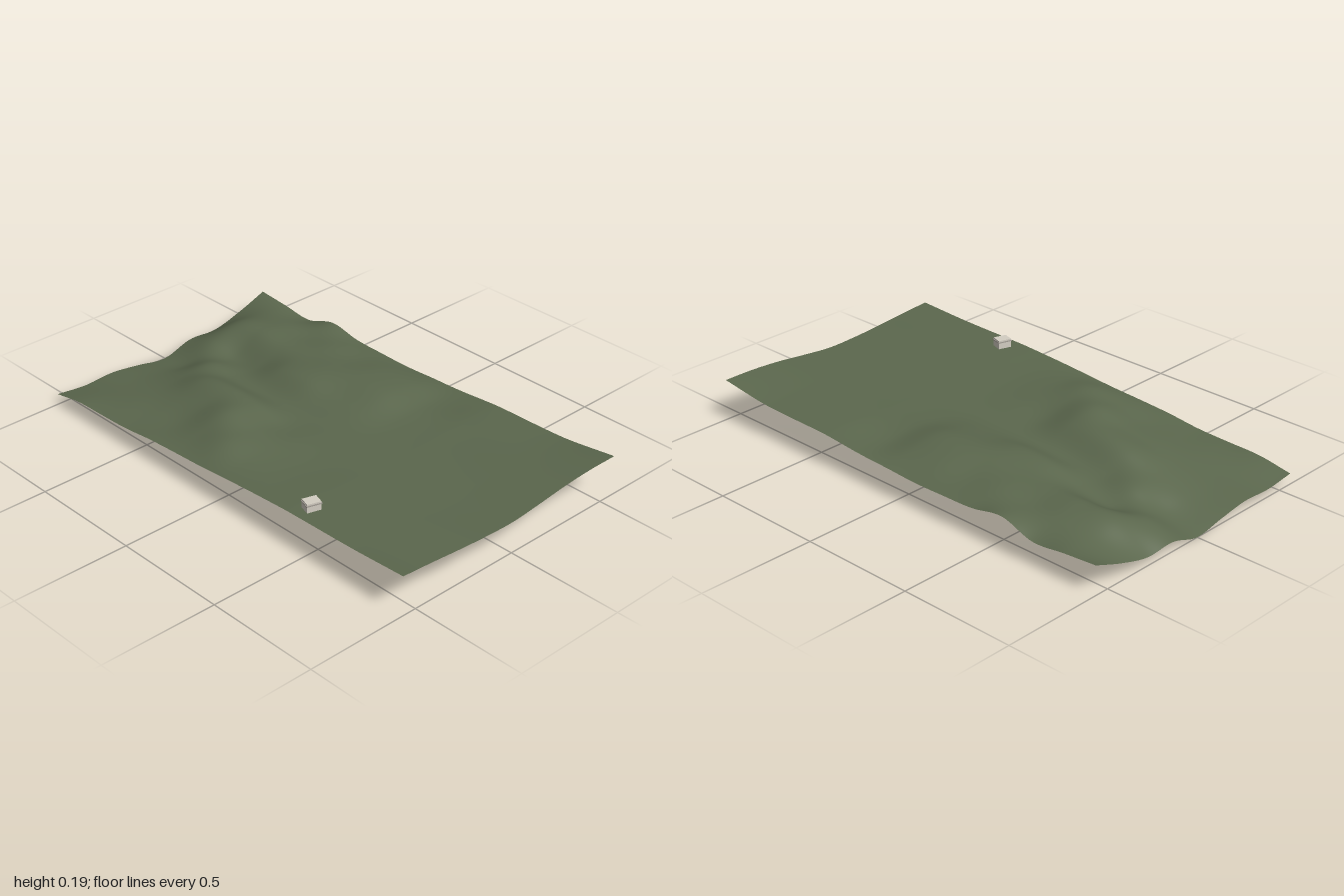
import * as THREE from 'three';

const WIDTH = 1.13, LENGTH = 2;

// Cross-sections from back to front: z, then heights (in thousandths) at even steps from -x to +x
const SECTIONS = [
  [-1.00, [50, 36, 42, 24, 3, 42, 38, 74, 125]],
  [-0.85, [75, 62, 60, 50, 38, 90, 130, 118, 113]],
  [-0.70, [80, 82, 85, 94, 100, 72, 145, 134, 100]],
  [-0.55, [86, 95, 115, 145, 95, 96, 142, 135, 144]],
  [-0.40, [102, 110, 143, 162, 98, 142, 150, 146, 121]],
  [-0.25, [112, 142, 178, 156, 106, 156, 162, 142, 116]],
  [-0.10, [120, 166, 156, 124, 110, 144, 168, 152, 114]],
  [0.05, [132, 150, 142, 125, 114, 138, 164, 148, 121]],
  [0.20, [143, 146, 135, 124, 117, 125, 137, 128, 127]],
  [0.40, [154, 154, 141, 128, 122, 128, 140, 145, 142]],
  [0.75, [161, 159, 147, 133, 129, 138, 152, 156, 149]],
  [1.00, [173, 163, 151, 142, 139, 152, 168, 177, 178]],
];

// Smooth curve through evenly indexed values
function spline(values, t) {
  const last = values.length - 1;
  const i = Math.min(Math.floor(t), last - 1), f = t - i;
  const b = values[i], c = values[i + 1];
  const a = i > 0 ? values[i - 1] : 2 * b - c;
  const d = i + 2 <= last ? values[i + 2] : 2 * c - b;
  return b + 0.5 * f * (c - a + f * (2 * a - 5 * b + 4 * c - d + f * (3 * (b - c) + d - a)));
}

function groundHeight(x, z) {
  let row = 0;
  while (row < SECTIONS.length - 2 && z > SECTIONS[row + 1][0]) row++;
  const [z0] = SECTIONS[row], [z1] = SECTIONS[row + 1];
  const u = THREE.MathUtils.clamp(x / WIDTH + 0.5, 0, 1) * 8;
  const v = row + THREE.MathUtils.clamp((z - z0) / (z1 - z0), 0, 1);
  return spline(SECTIONS.map(([, heights]) => spline(heights, u)), v) / 1000;
}

export function createModel() {
  const grass = new THREE.MeshStandardMaterial({ color: 0x5b674d, side: THREE.DoubleSide });
  grass.name = 'grass green';
  const plaster = new THREE.MeshStandardMaterial({ color: 0xd3cdc2 });
  plaster.name = 'pale plaster';
  const trim = new THREE.MeshStandardMaterial({ color: 0xa29c94 });
  trim.name = 'eave grey';

  const model = new THREE.Group();
  model.name = 'landscape';

  // Open sheet of rolling ground with a valley running to the back
  const sheet = new THREE.PlaneGeometry(WIDTH, LENGTH, 80, 140).rotateX(-Math.PI / 2);
  const pos = sheet.attributes.position;
  for (let i = 0; i < pos.count; i++) pos.setY(i, groundHeight(pos.getX(i), pos.getZ(i)));
  sheet.computeVertexNormals();
  const terrain = new THREE.Mesh(sheet, grass);
  terrain.name = 'terrain';
  model.add(terrain);

  // Small flat-roofed house set into the slope, stacked from boxes
  const house = new THREE.Group();
  house.name = 'house';
  house.position.set(-0.49, 0, 0.455);
  house.rotation.y = -0.3;
  const addBox = (name, material, width, depth, bottom, top) => {
    const box = new THREE.Mesh(new THREE.BoxGeometry(width, top - bottom, depth), material);
    box.name = name;
    box.position.y = (bottom + top) / 2;
    house.add(box);
  };
  addBox('walls', plaster, 0.058, 0.046, 0.15, 0.183);
  addBox('eaves', trim, 0.064, 0.052, 0.183, 0.187);
  addBox('roof', plaster, 0.058, 0.046, 0.187, 0.193);
  model.add(house);

  return model;
}
